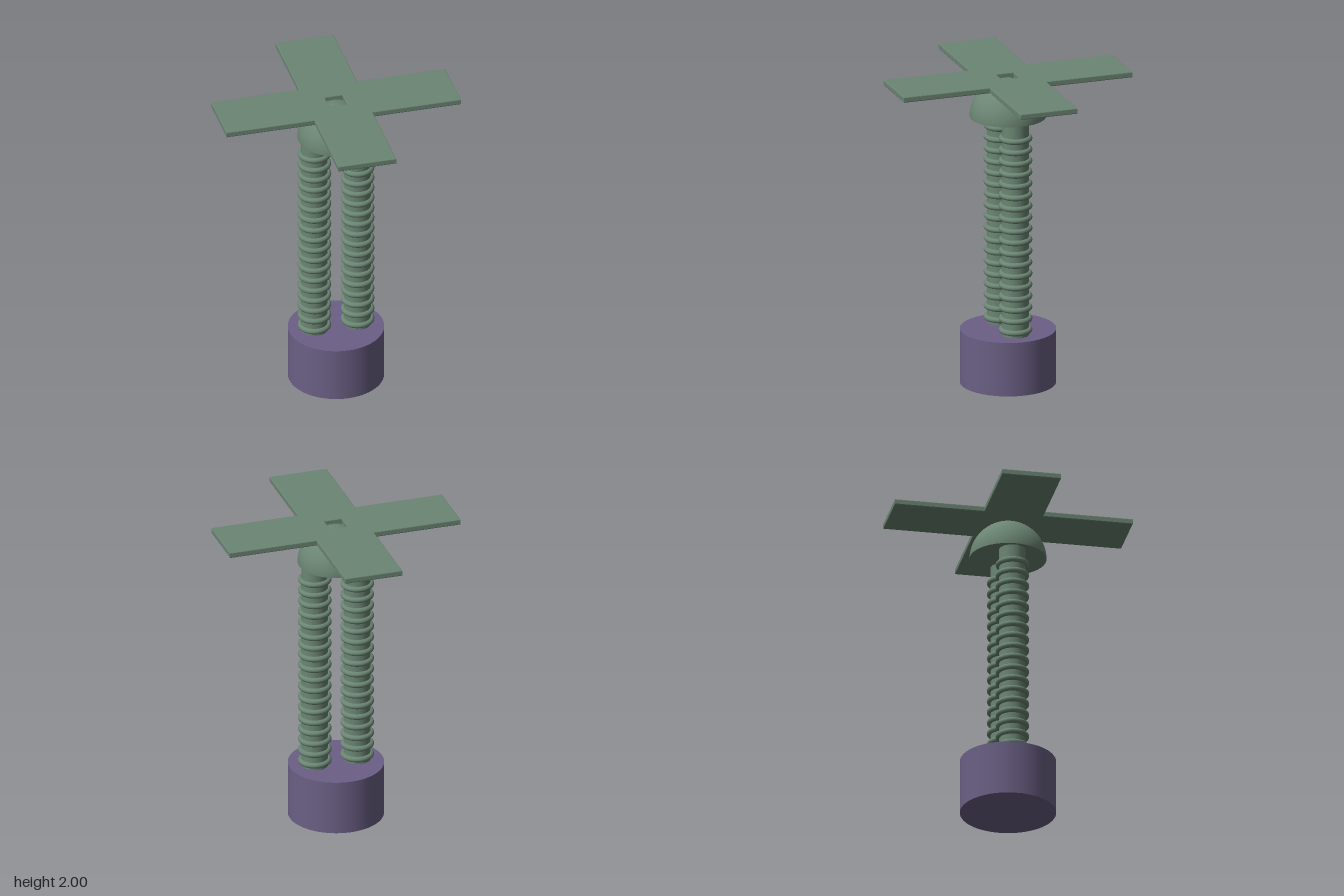
import * as THREE from 'three';

const green = new THREE.MeshStandardMaterial({ color: 0x6b8573 });
green.name = 'sage green';
const purple = new THREE.MeshStandardMaterial({ color: 0x6b6085 });
purple.name = 'muted purple';

function part(name, geometry, material, x = 0, y = 0, z = 0) {
  const mesh = new THREE.Mesh(geometry, material);
  mesh.name = name;
  mesh.position.set(x, y, z);
  return mesh;
}

// Flat cross with a square hole, extruded upwards with a tiny bevel
function crossGeometry(reach, half, hole, thickness, bevel) {
  const quarter = [[reach, -half], [reach, half], [half, half]];
  const points = [];
  for (let i = 0; i < 4; i++) {
    const c = [1, 0, -1, 0][i], s = [0, 1, 0, -1][i];
    for (const [x, y] of quarter) points.push(new THREE.Vector2(x * c - y * s, x * s + y * c));
  }
  const shape = new THREE.Shape(points);
  shape.holes.push(new THREE.Path([[-1, -1], [-1, 1], [1, 1], [1, -1]]
    .map(([x, y]) => new THREE.Vector2(x * hole, y * hole))));
  const geometry = new THREE.ExtrudeGeometry(shape, {
    depth: thickness - 2 * bevel, bevelEnabled: true, bevelThickness: bevel,
    bevelSize: bevel, bevelOffset: -bevel, bevelSegments: 2,
  });
  geometry.translate(0, 0, bevel);
  geometry.rotateX(-Math.PI / 2);
  return geometry;
}

export function createModel() {
  const model = new THREE.Group();
  model.name = 'ribbedPillarStand';

  // Round base
  model.add(part('base', new THREE.CylinderGeometry(0.3, 0.3, 0.35, 64), purple, 0, 0.175));

  // Two columns with evenly spaced rings
  const ringGeometry = new THREE.TorusGeometry(0.087, 0.018, 12, 40);
  ringGeometry.rotateX(Math.PI / 2);
  const columnGeometry = new THREE.CylinderGeometry(0.083, 0.083, 1.4, 40);
  for (const side of [-1, 1]) {
    const column = new THREE.Group();
    column.name = side > 0 ? 'leftColumn' : 'rightColumn';
    column.position.x = side * 0.139;
    column.add(part('columnShaft', columnGeometry, green, 0, 1.045));
    for (let i = 0; i < 18; i++) {
      column.add(part('columnRing', ringGeometry, green, 0, 0.385 + i * 0.0737));
    }
    model.add(column);
  }

  // Dome with a flat underside
  model.add(part('dome', new THREE.SphereGeometry(0.24, 48, 20, 0, Math.PI * 2, 0, Math.PI / 2), green, 0, 1.74));
  const underside = new THREE.CircleGeometry(0.24, 48);
  underside.rotateX(Math.PI / 2);
  model.add(part('domeUnderside', underside, green, 0, 1.74));

  // Cross plate on top
  model.add(part('crossPlate', crossGeometry(0.755, 0.187, 0.057, 0.036, 0.005), green, 0, 1.964));
  return model;
}
